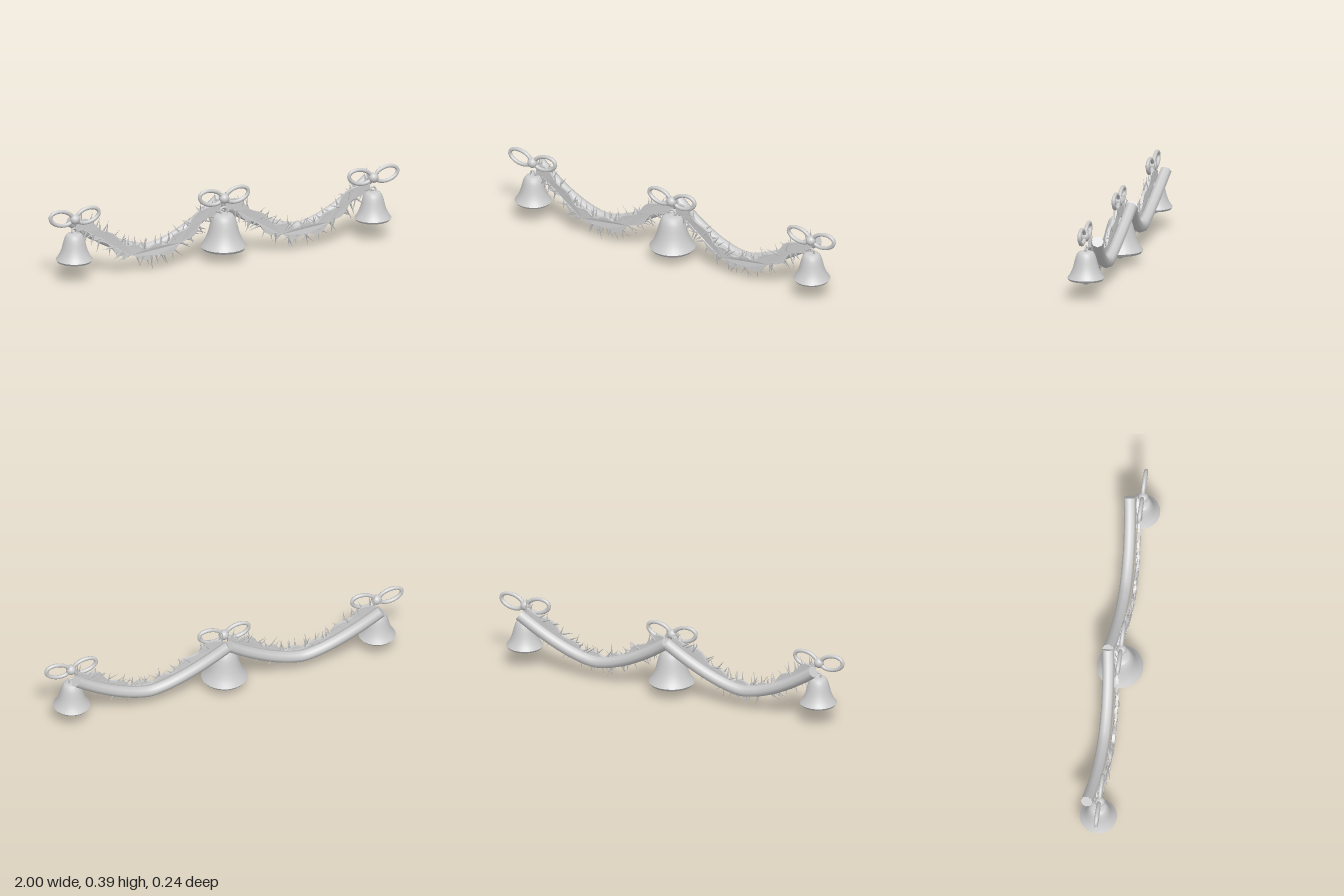
import * as THREE from 'three';
import { mergeGeometries } from 'three/addons/utils/BufferGeometryUtils.js';

const silver = new THREE.MeshStandardMaterial({ color: 0xcccccc });
silver.name = 'silver';

const HALF = 0.425; // half the span of one swag

function add(parent, name, geometry, x = 0, y = 0, z = 0) {
  const mesh = new THREE.Mesh(geometry, silver);
  mesh.name = name;
  mesh.position.set(x, y, z);
  parent.add(mesh);
  return mesh;
}

function seeded(seed) {
  return () => {
    seed = (seed * 16807) % 2147483647;
    return seed / 2147483647;
  };
}

// Sagging tinsel line; t runs from -1 to 1 across a swag
const sagY = (t) => 0.1 + 0.19 * Math.sin((Math.PI / 2) * Math.pow(Math.abs(t), 1.25)) ** 2;
const tinselZ = (t) => 0.022 - 0.04 * t * t;

// Bell with flared rim, closed mouth, clapper and hanging ring
function makeBell(x, rimY, s) {
  const bell = new THREE.Group();
  bell.name = 'bell';
  const profile = [
    [0.097, 0], [0.085, 0.017], [0.075, 0.036], [0.066, 0.06], [0.06, 0.085],
    [0.054, 0.108], [0.047, 0.127], [0.038, 0.138], [0.024, 0.142], [0, 0.143],
  ].map(([r, y]) => new THREE.Vector2(r, y));
  add(bell, 'bellBody', new THREE.LatheGeometry(profile, 32));
  add(bell, 'bellRim', new THREE.CylinderGeometry(0.097, 0.089, 0.011, 32), 0, -0.0055, 0);
  add(bell, 'clapper', new THREE.SphereGeometry(0.022, 16, 12), 0, -0.015, 0);
  add(bell, 'hangingRing', new THREE.TorusGeometry(0.015, 0.005, 8, 16), 0, 0.153, 0);
  bell.position.set(x, rimY, 0);
  bell.scale.setScalar(s);
  return bell;
}

// Bow with two tilted oval loops and a round knot
function makeBow(x) {
  const bow = new THREE.Group();
  bow.name = 'bow';
  for (const side of [-1, 1]) {
    const points = [];
    for (let i = 0; i < 24; i++) {
      const a = (i / 24) * Math.PI * 2;
      const u = 0.064 * Math.cos(a), v = 0.038 * Math.sin(a), tilt = 0.22;
      points.push(new THREE.Vector3(
        side * (0.075 + u * Math.cos(tilt) - v * Math.sin(tilt)),
        0.343 + u * Math.sin(tilt) + v * Math.cos(tilt), 0.005));
    }
    const path = new THREE.CatmullRomCurve3(points, true);
    add(bow, 'bowLoop', new THREE.TubeGeometry(path, 40, 0.0105, 8, true));
  }
  add(bow, 'knot', new THREE.SphereGeometry(0.027, 20, 14), 0, 0.33, 0.008);
  bow.position.x = x;
  return bow;
}

// Rear cord of one swag, with capped ends
function makeCord() {
  const points = [];
  for (let i = 0; i <= 12; i++) {
    const t = i / 6 - 1;
    points.push(new THREE.Vector3(t * HALF, 0.105 + 0.2 * Math.abs(t) ** 1.6, -0.028 - 0.034 * t * t));
  }
  const path = new THREE.CatmullRomCurve3(points);
  const cord = new THREE.Group();
  cord.name = 'cord';
  add(cord, 'cordTube', new THREE.TubeGeometry(path, 40, 0.031, 8));
  for (const u of [0, 1]) {
    const cap = add(cord, 'cordEnd', new THREE.CircleGeometry(0.031, 8));
    const p = path.getPoint(u);
    cap.position.copy(p);
    cap.lookAt(p.clone().addScaledVector(path.getTangent(u), u ? 1 : -1));
  }
  return cord;
}

// Wavy flat tinsel strip, bent in depth along the swag
function makeStrip() {
  const upper = [], lower = [], n = 56;
  for (let i = 0; i <= n; i++) {
    const t = (i / n) * 2 - 1;
    const slope = (sagY(t + 0.01) - sagY(t - 0.01)) / (0.02 * HALF);
    const len = Math.hypot(1, slope);
    const nx = -slope / len, ny = 1 / len;
    const wave = 0.011 * Math.sin(t * 20);
    const x = t * HALF * 0.97, y = sagY(t);
    upper.push(new THREE.Vector2(x + nx * (wave + 0.03), y + ny * (wave + 0.03)));
    lower.push(new THREE.Vector2(x + nx * (wave - 0.03), y + ny * (wave - 0.03)));
  }
  const shape = new THREE.Shape([...lower, ...upper.reverse()]);
  const geometry = new THREE.ExtrudeGeometry(shape, { depth: 0.016, bevelEnabled: false });
  const p = geometry.attributes.position;
  for (let i = 0; i < p.count; i++) p.setZ(i, p.getZ(i) - 0.008 + tinselZ(p.getX(i) / HALF));
  geometry.computeVertexNormals();
  return geometry;
}

// Thin needles sticking out of the strip on both edges
function makeNeedles(seed) {
  const random = seeded(seed);
  const needles = [];
  const count = 90;
  for (let i = 0; i < count; i++) {
    const t = ((i + random()) / count) * 1.96 - 0.98;
    const x = t * HALF, y = sagY(t);
    const up = i % 2 ? 1 : -1;
    const slope = Math.atan((sagY(t + 0.01) - sagY(t - 0.01)) / (0.02 * HALF));
    const angle = slope + (up > 0 ? 0 : Math.PI) + (random() - 0.5) * 2;
    const length = 0.055 + 0.03 * random();
    const geometry = new THREE.ConeGeometry(0.007, length, 4);
    geometry.scale(1, 1, 0.5);
    geometry.translate(0, length / 2 + 0.018, 0);
    geometry.rotateX((random() - 0.5) * 0.16);
    geometry.rotateZ(angle);
    geometry.translate(x, y, tinselZ(t) + (random() - 0.5) * 0.018);
    needles.push(geometry);
  }
  return mergeGeometries(needles);
}

export function createModel() {
  const model = new THREE.Group();
  model.name = 'bellGarland';

  for (const side of [-1, 1]) {
    const swag = new THREE.Group();
    swag.name = side > 0 ? 'leftSwag' : 'rightSwag';
    swag.position.x = side * HALF;
    swag.add(makeCord());
    add(swag, 'tinselStrip', makeStrip());
    add(swag, 'tinselNeedles', makeNeedles(side > 0 ? 4711 : 1923));
    model.add(swag);
  }

  for (const x of [-0.85, 0, 0.85]) {
    model.add(makeBow(x));
    model.add(x ? makeBell(x, 0.111, 1) : makeBell(0, 0.07, 1.25));
  }
  return model;
}
